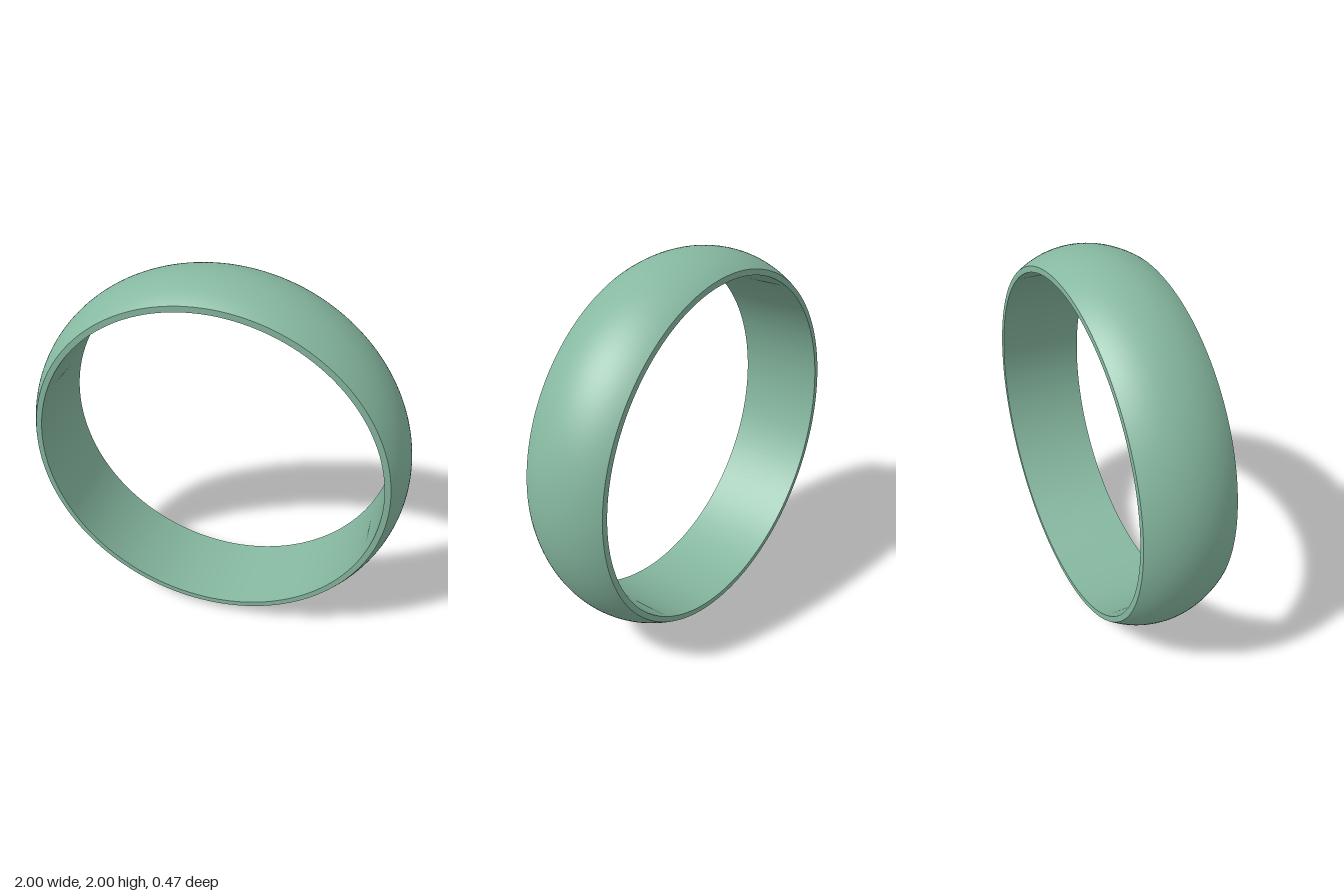
import * as THREE from 'three';

const HALF_WIDTH = 0.235, OUTER = 1, EDGE = 0.93, INNER = 0.9, SEGMENTS = 160;

export function createModel() {
  const ring = new THREE.Group();
  ring.name = 'ring';
  const material = new THREE.MeshStandardMaterial({ color: 0x86b8a0 });

  // Each surface is its own lathe, so the edges between them stay sharp
  const addBand = (name, points) => {
    const geometry = new THREE.LatheGeometry(points, SEGMENTS);
    geometry.rotateX(Math.PI / 2);
    geometry.translate(0, OUTER, 0);
    const mesh = new THREE.Mesh(geometry, material);
    mesh.name = name;
    ring.add(mesh);
  };
  const p = (r, y) => new THREE.Vector2(r, y);

  // Domed outside: a circular arc through both edges and the crown
  const rise = OUTER - EDGE;
  const arcRadius = (HALF_WIDTH ** 2 + rise ** 2) / (2 * rise);
  const arcAngle = Math.asin(HALF_WIDTH / arcRadius);
  const dome = [];
  for (let i = 0; i <= 24; i++) {
    const a = arcAngle * (i / 12 - 1);
    dome.push(p(OUTER - arcRadius + arcRadius * Math.cos(a), arcRadius * Math.sin(a)));
  }
  addBand('outerDome', dome);

  // Flat rims and straight bore
  addBand('frontRim', [p(EDGE, HALF_WIDTH), p(INNER, HALF_WIDTH)]);
  addBand('innerBore', [p(INNER, HALF_WIDTH), p(INNER, -HALF_WIDTH)]);
  addBand('backRim', [p(INNER, -HALF_WIDTH), p(EDGE, -HALF_WIDTH)]);

  return ring;
}
